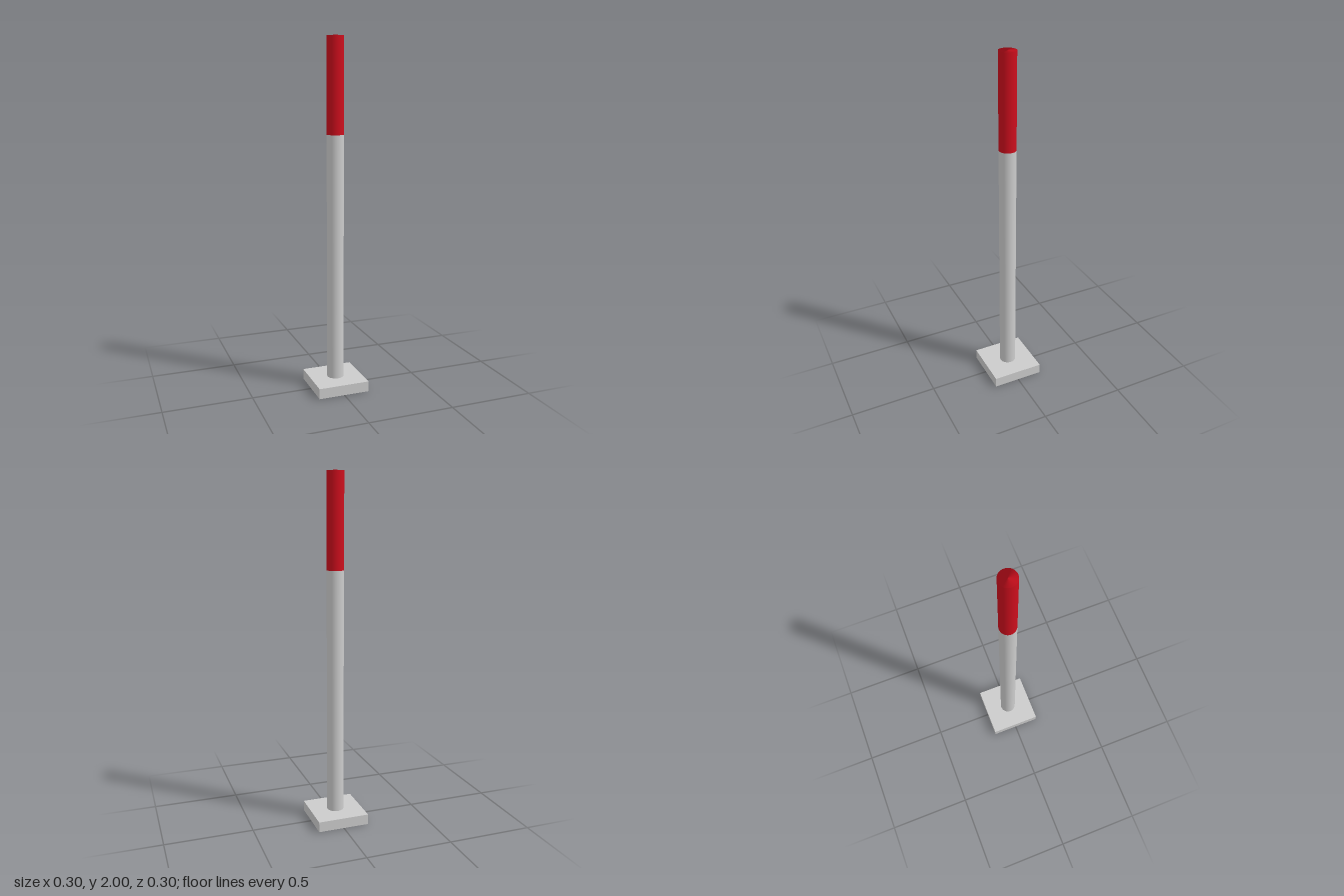
import * as THREE from 'three';

const BASE_HEIGHT = 0.06, BAND_START = 1.47, TOP = 2, RADIUS = 0.048, SIDES = 48;

export function createModel() {
  const group = new THREE.Group();
  const grey = new THREE.MeshStandardMaterial({ color: 0xcccccc });
  const red = new THREE.MeshStandardMaterial({ color: 0xcc0e1c });

  const add = (name, geometry, material, y) => {
    const mesh = new THREE.Mesh(geometry, material);
    mesh.name = name;
    mesh.position.y = y;
    group.add(mesh);
  };

  // Open cylinder between two heights
  const addTube = (name, y0, y1, material) => add(name,
    new THREE.CylinderGeometry(RADIUS, RADIUS, y1 - y0, SIDES, 1, true), material, (y0 + y1) / 2);

  // Square foot plate
  add('basePlate', new THREE.BoxGeometry(0.3, BASE_HEIGHT, 0.3), grey, BASE_HEIGHT / 2);

  // Round pole with a red upper section
  addTube('pole', BASE_HEIGHT, BAND_START, grey);
  addTube('redBand', BAND_START, TOP, red);

  // Flat end cap: a cone pressed flat that keeps its outward normals, so its shading follows the pole
  const cap = new THREE.ConeGeometry(RADIUS, 0.5, SIDES, 1, true);
  const position = cap.attributes.position;
  for (let i = 0; i < position.count; i++) position.setY(i, 0);
  add('endCap', cap, red, TOP);

  return group;
}
